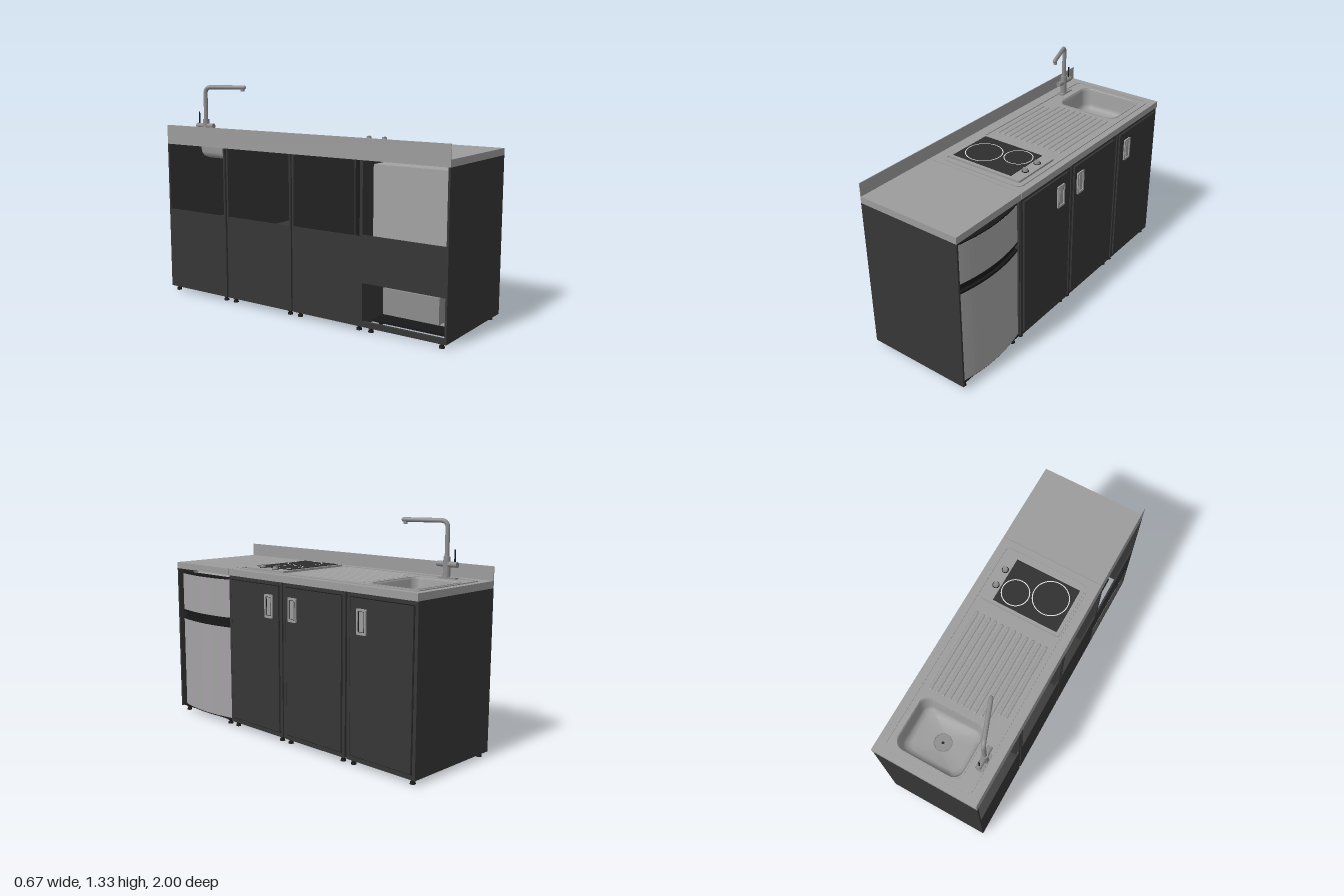
import * as THREE from 'three';

const mat = (name, color, side = THREE.FrontSide) => {
  const m = new THREE.MeshStandardMaterial({ color, side });
  m.name = name;
  return m;
};

// Rounded rectangle loop centred on (cx, cz), with half sizes a and b
function loop(cx, cz, a, b, r, n = 8) {
  const pts = [];
  [[1, 1], [-1, 1], [-1, -1], [1, -1]].forEach(([sx, sz], q) => {
    for (let i = 0; i <= n; i++) {
      const t = (q + i / n) * Math.PI / 2;
      pts.push(new THREE.Vector2(cx + sx * (a - r) + r * Math.cos(t), cz + sz * (b - r) + r * Math.sin(t)));
    }
  });
  return pts;
}

// Horizontal slab from an x-z outline with holes
function slab(outline, holes, top, height) {
  const s = new THREE.Shape(outline);
  holes.forEach(h => s.holes.push(new THREE.Path(h)));
  return new THREE.ExtrudeGeometry(s, { depth: height, bevelEnabled: false, curveSegments: 12 })
    .rotateX(Math.PI / 2).translate(0, top, 0);
}

// Smooth skin through loops given as [points, y]
function loft(sections) {
  const pos = [], idx = [], n = sections[0][0].length;
  sections.forEach(([pts, y]) => pts.forEach(p => pos.push(p.x, y, p.y)));
  for (let s = 0; s < sections.length - 1; s++) {
    for (let i = 0; i < n; i++) {
      const a = s * n + i, b = s * n + (i + 1) % n;
      idx.push(a, b, a + n, b, b + n, a + n);
    }
  }
  const g = new THREE.BufferGeometry();
  g.setAttribute('position', new THREE.Float32BufferAttribute(pos, 3));
  g.setIndex(idx);
  g.computeVertexNormals();
  return g;
}

export function createModel() {
  const model = new THREE.Group();
  model.name = 'compactKitchen';
  const cabinet = mat('charcoal cabinet', 0x363636);
  const black = mat('black trim', 0x181818);
  const steel = mat('brushed steel', 0x9c9c9c);
  const bowlSteel = mat('sink steel', 0x9c9c9c, THREE.DoubleSide);
  const fridgeGrey = mat('fridge grey', 0xa4a2a4);
  const chrome = mat('tap metal', 0x8c8c8c);
  const glass = mat('hob glass', 0x2e2e2e);
  const white = mat('hob markings', 0xdadada);

  const add = (name, geo, m, parent = model) => {
    const mesh = new THREE.Mesh(geo, m);
    mesh.name = name;
    parent.add(mesh);
    return mesh;
  };
  // Box given by its limits
  const box = (name, m, x0, x1, y0, y1, z0, z1, parent) => add(name,
    new THREE.BoxGeometry(x1 - x0, y1 - y0, z1 - z0)
      .translate((x0 + x1) / 2, (y0 + y1) / 2, (z0 + z1) / 2), m, parent);
  const cyl = (name, m, r0, r1, h, x, y, z, parent) => add(name,
    new THREE.CylinderGeometry(r0, r1, h, 24).translate(x, y, z), m, parent);

  const foot = (x, z, parent) => {
    cyl('footStem', black, 0.008, 0.008, 0.03, x, 0.017, z, parent);
    cyl('footPad', black, 0.014, 0.016, 0.012, x, 0.006, z, parent);
    cyl('footCollar', black, 0.015, 0.015, 0.008, x, 0.026, z, parent);
  };
  const feet = (z0, z1, parent) => {
    for (const x of [-0.305, 0.29]) for (const z of [z0 + 0.035, z1 - 0.03]) foot(x, z, parent);
  };

  // Door handle: pierced plate over a dark recess with a grip bar
  const handle = (z, parent) => {
    const g = new THREE.Group();
    g.name = 'doorHandle';
    const s = new THREE.Shape(loop(0, 0, 0.034, 0.07, 0.006, 3));
    s.holes.push(new THREE.Path(loop(0, 0, 0.024, 0.057, 0.006, 3)));
    add('handlePlate', new THREE.ExtrudeGeometry(s, { depth: 0.01, bevelEnabled: false })
      .rotateY(Math.PI / 2).translate(0.322, 0.81, z), steel, g);
    box('handleRecess', black, 0.321, 0.325, 0.752, 0.868, z - 0.026, z + 0.026, g);
    box('handleGrip', steel, 0.324, 0.33, 0.757, 0.863, z - 0.016, z + 0.013, g);
    parent.add(g);
  };

  // Base cabinets: far z, near z, handle z, shelf
  const units = [[-1, -0.52, -0.63, true], [-0.507, -0.015, -0.1, true], [-0.005, 0.472, 0.1, false]];
  for (const [z0, z1, hz, shelf] of units) {
    const g = new THREE.Group();
    g.name = 'baseCabinet';
    model.add(g);
    box('sidePanel', cabinet, -0.335, 0.312, 0.03, 0.96, z0, z0 + 0.012, g);
    box('sidePanel', cabinet, -0.335, 0.312, 0.03, 0.96, z1 - 0.012, z1, g);
    box('bottomPanel', cabinet, -0.33, 0.312, 0.032, 0.045, z0 + 0.012, z1 - 0.012, g);
    box('backPanel', cabinet, -0.335, -0.325, 0.03, 0.54, z0 + 0.012, z1 - 0.012, g);
    if (shelf) box('shelf', cabinet, -0.32, 0.29, 0.41, 0.422, z0 + 0.012, z1 - 0.012, g);
    // Front surround and door
    for (const [a, b] of [[z0, z0 + 0.02], [z1 - 0.02, z1]]) {
      box('frontUpright', cabinet, 0.3, 0.318, 0.03, 0.96, a, b, g);
    }
    for (const y of [0.03, 0.938]) box('frontRail', cabinet, 0.3, 0.318, y, y + 0.022, z0 + 0.02, z1 - 0.02, g);
    box('doorSeal', black, 0.3, 0.312, 0.05, 0.94, z0 + 0.018, z1 - 0.018, g);
    box('door', cabinet, 0.305, 0.323, 0.06, 0.932, z0 + 0.027, z1 - 0.027, g);
    handle(hz, g);
    feet(z0, z1, g);
  }

  // Fridge housing
  const housing = new THREE.Group();
  housing.name = 'fridgeHousing';
  model.add(housing);
  box('endPanel', cabinet, -0.335, 0.325, 0.03, 0.96, 0.988, 1, housing);
  box('innerPanel', cabinet, -0.335, 0.312, 0.03, 0.96, 0.472, 0.478, housing);
  box('backPanel', cabinet, -0.335, -0.325, 0.28, 0.55, 0.478, 0.988, housing);
  box('backRail', cabinet, -0.335, -0.315, 0.03, 0.06, 0.478, 0.988, housing);
  box('frontRail', black, 0.27, 0.31, 0.03, 0.038, 0.478, 0.988, housing);
  feet(0.485, 0.99, housing);

  // Fridge with two bowed doors
  const fridge = new THREE.Group();
  fridge.name = 'fridge';
  model.add(fridge);
  box('fridgeBody', fridgeGrey, -0.24, 0.265, 0.27, 0.93, 0.487, 0.965, fridge);
  box('fridgeLowerBody', fridgeGrey, -0.12, 0.265, 0.05, 0.27, 0.487, 0.965, fridge);
  box('fridgeBase', black, -0.24, 0.265, 0.038, 0.05, 0.487, 0.965, fridge);
  box('compressor', chrome, -0.23, -0.12, 0.09, 0.24, 0.55, 0.9, fridge);
  for (const x of [-0.2, 0.19]) for (const z of [0.52, 0.94]) foot(x, z, fridge);
  const bowed = (name, m, y0, y1, inset) => {
    const pts = [new THREE.Vector2(0.265, 0.482)];
    for (let i = 0; i <= 20; i++) {
      const t = i / 10 - 1;
      pts.push(new THREE.Vector2(0.333 - inset - 0.03 * t * t, 0.726 + 0.244 * t));
    }
    pts.push(new THREE.Vector2(0.265, 0.97));
    add(name, slab(pts, [], y1, y1 - y0), m, fridge);
  };
  bowed('lowerDoor', fridgeGrey, 0.043, 0.628, 0);
  bowed('lowerDoorCap', black, 0.628, 0.642, 0);
  bowed('doorGap', black, 0.642, 0.676, 0.016);
  bowed('upperDoorCap', black, 0.676, 0.69, 0);
  bowed('upperDoor', fridgeGrey, 0.69, 0.928, 0);
  bowed('topTrim', black, 0.928, 0.936, 0.001);
  bowed('bottomTrim', black, 0.036, 0.043, 0.004);

  // Worktops and splashback
  const rect = (x0, x1, z0, z1, r) => loop((x0 + x1) / 2, (z0 + z1) / 2, (x1 - x0) / 2, (z1 - z0) / 2, r);
  const bowl = (inset, r) => loop(0.03, -0.755, 0.205 - inset, 0.165 - inset, r);
  add('sinkWorktop', slab(rect(-0.335, 0.325, -1, 0.467, 0.001), [bowl(0, 0.06)], 1, 0.04), steel);
  box('fridgeWorktop', steel, -0.335, 0.325, 0.96, 1, 0.47, 1);
  box('splashback', steel, -0.335, -0.33, 0.96, 1.08, -1, 1);

  // Sink bowl, rim and drain
  add('sinkBowl', loft([[bowl(0, 0.06), 1.001], [bowl(0.008, 0.056), 0.99], [bowl(0.016, 0.055), 0.9],
    [bowl(0.026, 0.055), 0.875], [bowl(0.05, 0.05), 0.863], [loop(0.03, -0.755, 0.05, 0.05, 0.05), 0.858]]), bowlSteel);
  add('sinkRim', slab(bowl(-0.008, 0.066), [bowl(0, 0.06)], 1.004, 0.005), steel);
  cyl('drain', chrome, 0.05, 0.04, 0.02, 0.03, 0.849, -0.755);
  cyl('drainCentre', black, 0.008, 0.008, 0.004, 0.03, 0.86, -0.755);
  add('drainRing', new THREE.TorusGeometry(0.05, 0.003, 8, 32).rotateX(Math.PI / 2).translate(0.03, 0.86, -0.755), chrome);
  cyl('drainPipe', black, 0.022, 0.022, 0.12, 0.03, 0.79, -0.755);

  // Pressed border and drainer ridges
  add('pressedBorder', slab(rect(-0.27, 0.285, -0.96, 0.435, 0.04), [rect(-0.256, 0.271, -0.946, 0.421, 0.03)], 1.005, 0.006), steel);
  for (let i = 0; i < 12; i++) {
    const z0 = i < 2 ? -0.5 : -0.555, len = -0.02 - z0;
    add('drainerRidge', new THREE.CapsuleGeometry(0.01, len - 0.02, 4, 10)
      .rotateX(Math.PI / 2).scale(1, 0.6, 1).translate(-0.225 + i * 0.0405, 1, z0 + len / 2), steel);
  }

  // Hob
  const hob = new THREE.Group();
  hob.name = 'hob';
  model.add(hob);
  add('hobFrame', slab(rect(-0.258, 0.25, 0.06, 0.393, 0.012), [], 1.012, 0.014), steel, hob);
  box('hobGlass', glass, -0.235, 0.178, 1.01, 1.0145, 0.08, 0.372, hob);
  for (const [x, z, r] of [[-0.11, 0.247, 0.108], [0.085, 0.18, 0.083]]) {
    add('cookingRing', new THREE.RingGeometry(r - 0.004, r + 0.002, 64)
      .rotateX(-Math.PI / 2).translate(x, 1.0165, z), white, hob);
  }
  for (const z of [0.17, 0.28]) {
    cyl('knobDial', black, 0.021, 0.021, 0.002, 0.208, 1.013, z, hob);
    cyl('knob', chrome, 0.014, 0.017, 0.016, 0.208, 1.021, z, hob);
    box('knobGrip', chrome, 0.194, 0.222, 1.022, 1.032, z - 0.004, z + 0.004, hob);
  }

  // Mixer tap with swivelled spout
  const tap = new THREE.Group();
  tap.name = 'mixerTap';
  model.add(tap);
  const tx = -0.243, tz = -0.75;
  add('tapPlate', slab(rect(tx - 0.022, tx + 0.022, tz - 0.07, tz + 0.045, 0.01), [], 1.008, 0.009), chrome, tap);
  cyl('tapBody', chrome, 0.02, 0.021, 0.12, tx, 1.062, tz, tap);
  add('tapCrossBar', new THREE.CylinderGeometry(0.016, 0.016, 0.135, 24)
    .rotateX(Math.PI / 2).translate(tx, 1.08, tz - 0.005), chrome, tap);
  add('tapLever', new THREE.CylinderGeometry(0.004, 0.005, 0.1, 10).translate(tx, 1.115, tz - 0.055), black, tap);
  const dir = new THREE.Vector3(0.09, 0, 0.24).normalize();
  const at = (d, y) => new THREE.Vector3(tx, y, tz).addScaledVector(dir, d);
  const path = new THREE.CurvePath();
  path.add(new THREE.LineCurve3(at(0, 1.1), at(0, 1.28)));
  path.add(new THREE.QuadraticBezierCurve3(at(0, 1.28), at(0, 1.32), at(0.04, 1.32)));
  path.add(new THREE.LineCurve3(at(0.04, 1.32), at(0.255, 1.32)));
  add('spout', new THREE.TubeGeometry(path, 80, 0.013, 16), chrome, tap);
  const end = at(0.255, 1.32);
  add('spoutEnd', new THREE.SphereGeometry(0.013, 16, 10).translate(end.x, end.y, end.z), chrome, tap);
  const tip = at(0.245, 1.305);
  cyl('spoutNozzle', chrome, 0.011, 0.011, 0.02, tip.x, tip.y, tip.z, tap);

  return model;
}
